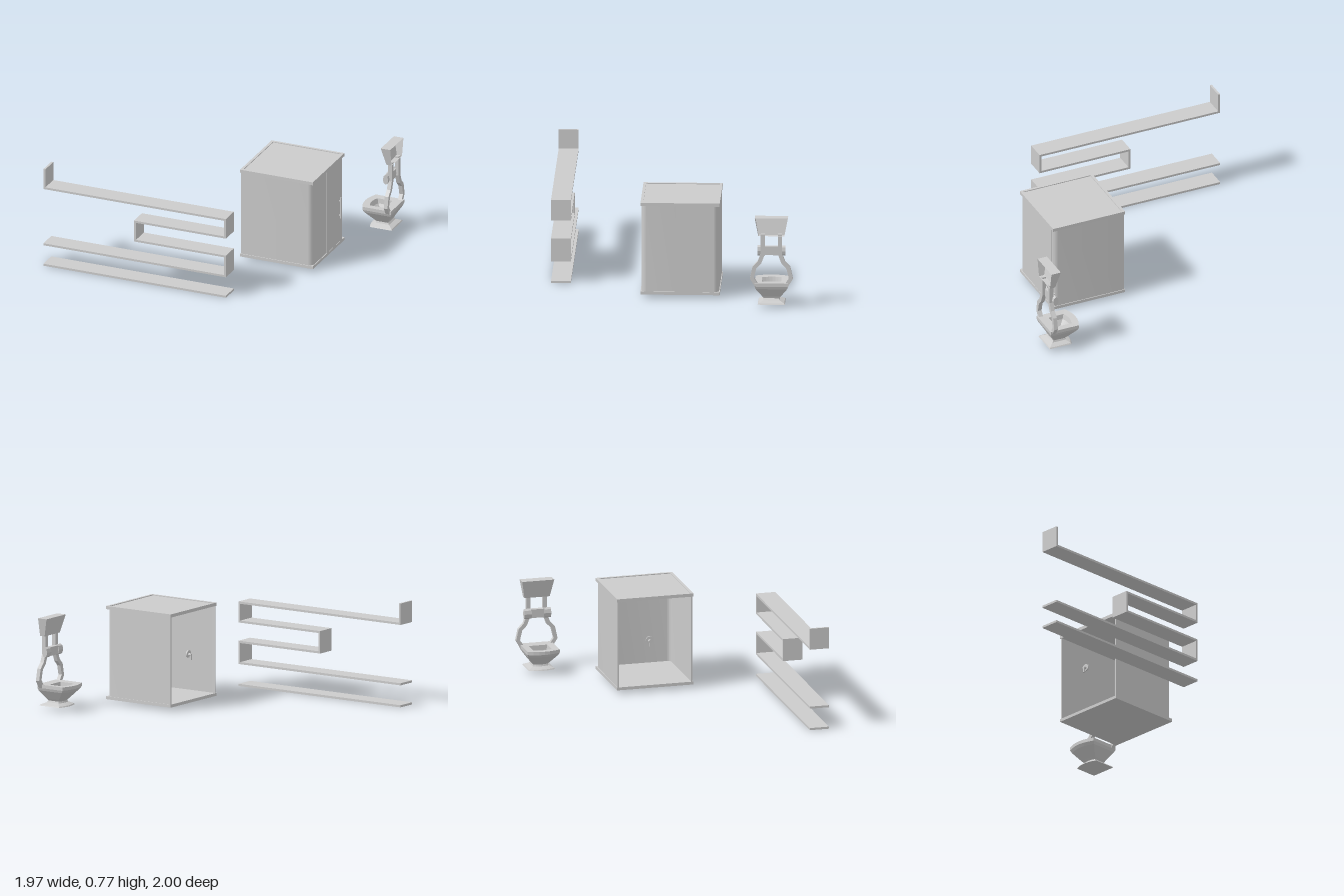
import * as THREE from 'three';
import { toCreasedNormals } from 'three/addons/utils/BufferGeometryUtils.js';

const YAW = 0.099;
const smooth = new THREE.MeshStandardMaterial({ color: 0xcccccc });
const thin = new THREE.MeshStandardMaterial({ color: 0xcccccc, side: THREE.DoubleSide });
const faceted = new THREE.MeshStandardMaterial({ color: 0xcccccc, side: THREE.DoubleSide, flatShading: true });

function add(parent, name, geometry, material = smooth) {
  const mesh = new THREE.Mesh(geometry, material);
  mesh.name = name;
  parent.add(mesh);
  return mesh;
}

// Box given by its two extreme corners
function span(parent, name, x0, x1, y0, y1, z0, z1) {
  const mesh = add(parent, name, new THREE.BoxGeometry(x1 - x0, y1 - y0, z1 - z0));
  mesh.position.set((x0 + x1) / 2, (y0 + y1) / 2, (z0 + z1) / 2);
  return mesh;
}

function placed(name, x, z) {
  const group = new THREE.Group();
  group.name = name;
  group.position.set(x, 0, z);
  group.rotation.y = YAW;
  return group;
}

// Surface through a list of equal-length rings; the ends may be closed
function loft(rings, closeStart, closeEnd) {
  const n = rings[0].length, index = [];
  for (let r = 0; r + 1 < rings.length; r++) {
    for (let i = 0; i < n; i++) {
      const a = r * n + i, b = r * n + (i + 1) % n;
      index.push(a, a + n, b, b, a + n, b + n);
    }
  }
  const last = (rings.length - 1) * n;
  for (let i = 1; i + 1 < n; i++) {
    if (closeStart) index.push(0, i, i + 1);
    if (closeEnd) index.push(last, last + i + 1, last + i);
  }
  const geometry = new THREE.BufferGeometry();
  geometry.setAttribute('position', new THREE.Float32BufferAttribute(rings.flat(2), 3));
  geometry.setIndex(index);
  geometry.computeVertexNormals();
  return geometry;
}

// Winding shelf made of boards and uprights
function createShelf() {
  const shelf = placed('windingShelf', -0.255, 0.853);
  const t = 0.016, d = 0.073, L = 0.73;
  const boards = [[-L, 0], [-L, 0.164], [-0.005, 0.322], [-0.005, 0.474], [-L, 0.615]];
  for (const [x, y] of boards) span(shelf, 'shelfBoard', x, L, y, y + t, -d, d);
  const uprights = [[L - t, 0.164, 0.338], [-0.005, 0.322, 0.49], [L - t, 0.474, 0.631], [-L, 0.615, 0.775]];
  for (const [x, y0, y1] of uprights) span(shelf, 'shelfUpright', x, x + t, y0, y1, -d, d);
  return shelf;
}

// Cabin with three walls, tray, roof, door and fittings
function createCabin() {
  const cabin = placed('showerCabin', 0.495, -0.116);
  const S = 0.291;
  span(cabin, 'tray', -S, S, 0.028, 0.05, -S, S);
  span(cabin, 'roofPanel', -S + 0.02, S - 0.02, 0.7, 0.718, -S + 0.02, S - 0.02);

  // Raised rim around the roof
  const rim = new THREE.Shape([[-S, -S], [S, -S], [S, S], [-S, S]].map(p => new THREE.Vector2(...p)));
  const k = S - 0.02;
  rim.holes.push(new THREE.Path([[-k, -k], [-k, k], [k, k], [k, -k]].map(p => new THREE.Vector2(...p))));
  const rimGeometry = new THREE.ExtrudeGeometry(rim, { depth: 0.024, bevelEnabled: false });
  add(cabin, 'roofRim', rimGeometry.rotateX(-Math.PI / 2)).position.y = 0.7;

  // Walls: a U in plan with rounded corners, open on the -x side
  const h = 0.285, g = 0.275, r = 0.04, q = 0.03;
  const plan = new THREE.Shape();
  plan.moveTo(-h, -h);
  plan.lineTo(h - r, -h);
  plan.absarc(h - r, -h + r, r, -Math.PI / 2, 0, false);
  plan.lineTo(h, h - r);
  plan.absarc(h - r, h - r, r, 0, Math.PI / 2, false);
  plan.lineTo(-h, h);
  plan.lineTo(-h, g);
  plan.lineTo(g - q, g);
  plan.absarc(g - q, g - q, q, Math.PI / 2, 0, true);
  plan.lineTo(g, -g + q);
  plan.absarc(g - q, -g + q, q, 0, -Math.PI / 2, true);
  plan.lineTo(-h, -g);
  const walls = new THREE.ExtrudeGeometry(plan, { depth: 0.66, bevelEnabled: false, curveSegments: 8 });
  add(cabin, 'walls', toCreasedNormals(walls.rotateX(-Math.PI / 2), 0.6), thin).position.y = 0.045;

  // Door and its long handle
  span(cabin, 'door', 0.28, 0.289, 0.05, 0.7, -0.25, 0.03);
  span(cabin, 'doorHandle', 0.298, 0.306, 0.24, 0.405, -0.205, -0.192);
  for (const y of [0.26, 0.375]) span(cabin, 'handleMount', 0.286, 0.3, y, y + 0.01, -0.203, -0.194);

  // Small tap on the open side
  const disc = add(cabin, 'tapPlate', new THREE.CylinderGeometry(0.027, 0.027, 0.01, 16));
  disc.rotation.z = Math.PI / 2;
  disc.position.set(-0.272, 0.39, -0.04);
  const stem = add(cabin, 'tapStem', new THREE.CylinderGeometry(0.01, 0.012, 0.025, 12));
  stem.rotation.z = Math.PI / 2;
  stem.position.set(-0.284, 0.385, -0.04);
  span(cabin, 'tapLever', -0.298, -0.288, 0.345, 0.392, -0.046, -0.034);
  return cabin;
}

// Plan ring with a square back (+x) and a bowed front (-x)
function bowlRing([y, x0, x1, hz]) {
  const ring = [[x1, y, -hz], [x1, y, hz]];
  const bow = (x1 - x0) * 0.12;
  for (let i = 0; i <= 6; i++) {
    const s = 1 - i / 3;
    ring.push([x0 + bow * s * s, y, hz * s]);
  }
  return ring;
}

function createToilet() {
  const toilet = placed('toilet', 0.86, -0.835);

  // Foot, neck, bowl, rim and hollow inside: y, front x, back x, half width
  const profile = [
    [0.028, -0.09, 0.11, 0.1], [0.036, -0.085, 0.105, 0.095], [0.052, -0.05, 0.07, 0.06],
    [0.065, -0.045, 0.06, 0.055], [0.08, -0.06, 0.065, 0.068], [0.145, -0.13, 0.105, 0.115],
    [0.165, -0.145, 0.112, 0.123], [0.19, -0.145, 0.112, 0.123],
    [0.187, -0.095, 0.04, 0.07], [0.15, -0.085, 0.038, 0.065], [0.085, -0.03, 0.025, 0.027]
  ];
  add(toilet, 'bowl', loft(profile.map(bowlRing), true, true), faceted);

  // Tank shell tapering downwards, open at the back
  const tankRing = (b, xt, xb, ht, hb, yt, yb) => [[xt, yt, -ht], [xt, yt, ht], [xb, yb, hb], [xb, yb, -hb]];
  const tank = loft([
    tankRing(0, 0.106, 0.106, 0.122, 0.096, 0.683, 0.548),
    tankRing(0, 0.03, 0.065, 0.122, 0.096, 0.683, 0.548),
    tankRing(0, 0.038, 0.072, 0.112, 0.088, 0.674, 0.557),
    tankRing(0, 0.106, 0.106, 0.112, 0.088, 0.674, 0.557)
  ].slice(0, 2), false, true);
  add(toilet, 'tank', tank, faceted);

  // Pair of square posts that flare out around the bowl
  const path = [[0.56, 0.063], [0.41, 0.063], [0.345, 0.088], [0.305, 0.125], [0.225, 0.143], [0.165, 0.105]];
  const w = 0.015;
  for (const side of [-1, 1]) {
    const rings = path.map(([y, z], i) => {
      const p = path[Math.max(i - 1, 0)], n = path[Math.min(i + 1, path.length - 1)];
      const len = Math.hypot(n[0] - p[0], n[1] - p[1]);
      const ny = (n[1] - p[1]) / len * w, nz = -(n[0] - p[0]) / len * w;
      const ring = [[0.07, y - ny, side * (z - nz)], [0.1, y - ny, side * (z - nz)],
        [0.1, y + ny, side * (z + nz)], [0.07, y + ny, side * (z + nz)]];
      return side > 0 ? ring : ring.reverse();
    });
    add(toilet, 'post', loft(rings, true, true), faceted);
  }

  // Cross bar with thicker ends in front of the posts
  span(toilet, 'crossBar', 0.045, 0.08, 0.397, 0.462, -0.05, 0.05);
  for (const side of [-1, 1]) {
    const end = add(toilet, 'crossBarEnd', new THREE.CylinderGeometry(0.039, 0.039, 0.055, 8), faceted);
    end.scale.x = 0.55;
    end.rotation.set(Math.PI / 2, 0, 0);
    end.position.set(0.06, 0.428, side * 0.074);
  }
  return toilet;
}

export function createModel() {
  const model = new THREE.Group();
  model.name = 'bathroomSet';
  model.add(createShelf(), createCabin(), createToilet());
  return model;
}
